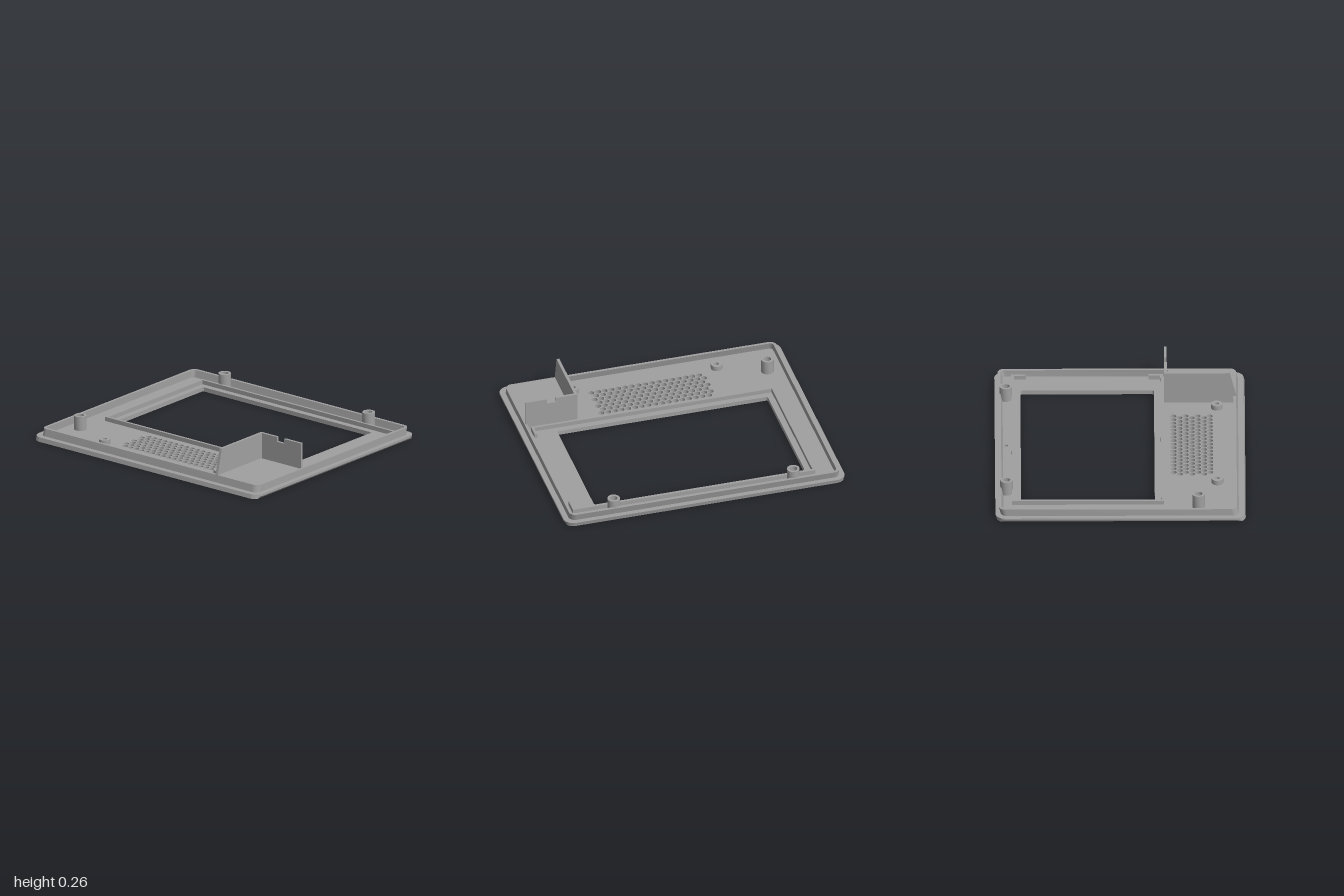
import * as THREE from 'three';
import { toCreasedNormals } from 'three/addons/utils/BufferGeometryUtils.js';

const LEAN = 0.25; // the moulded edges lean back by this much per unit of height

// Rounded rectangle in plan; the shape's y is -z.
function roundedRect(Type, x0, x1, z0, z1, r) {
  const s = new Type();
  const a = -z1, b = -z0, q = Math.PI / 2;
  s.absarc(x1 - r, a + r, r, -q, 0);
  s.absarc(x1 - r, b - r, r, 0, q);
  s.absarc(x0 + r, b - r, r, q, 2 * q);
  s.absarc(x0 + r, a + r, r, 2 * q, 3 * q);
  s.closePath();
  return s;
}

function circle(Type, x, z, r) {
  const s = new Type();
  s.absarc(x, -z, r, 0, Math.PI * 2);
  return s;
}

function polygon(points) {
  return new THREE.Shape(points.map(([x, y]) => new THREE.Vector2(x, y)));
}

// Extrude a plan shape upward from y0 to y1.
function slab(shape, y0, y1, steps = 1) {
  const g = new THREE.ExtrudeGeometry(shape, {
    depth: y1 - y0, steps, bevelEnabled: false, curveSegments: 8,
  });
  return g.rotateX(-Math.PI / 2).translate(0, y0, 0);
}

// Move each vertex of a geometry by a rule.
function reshape(g, rule) {
  const p = g.attributes.position;
  const v = new THREE.Vector3();
  for (let i = 0; i < p.count; i++) {
    rule(v.fromBufferAttribute(p, i));
    p.setXYZ(i, v.x, v.y, v.z);
  }
  return g;
}

export function createModel() {
  const model = new THREE.Group();
  model.name = 'frontPanel';
  const grey = new THREE.MeshStandardMaterial({ color: 0xa0a0a0 });
  grey.name = 'grey plastic';

  function add(name, geometry) {
    const mesh = new THREE.Mesh(toCreasedNormals(geometry, 0.6), grey);
    mesh.name = name;
    model.add(mesh);
    return mesh;
  }

  // Base plate with screen window, pinhole and speaker grille
  const plate = roundedRect(THREE.Shape, -1, 1, -0.85, 0.857, 0.07);
  plate.holes.push(roundedRect(THREE.Path, -0.75, 0.75, -0.68, 0.235, 0.015));
  plate.holes.push(circle(THREE.Path, 0, -0.78, 0.014));
  const pitch = 0.048;
  for (let row = 0; row < 7; row++) {
    for (let col = 0; col < 17; col++) {
      const x = -0.37 + col * pitch - (row % 2) * pitch / 2;
      plate.holes.push(circle(THREE.Path, x, 0.366 + row * pitch * 0.866, 0.021));
    }
  }
  add('basePlate', reshape(slab(plate, 0, 0.03, 2), (v) => {
    if (Math.abs(v.x) > 0.9 || Math.abs(v.z) > 0.8) v.z -= LEAN * v.y;
    // undercut along the two sides
    if (v.y < 0.001) v.x = THREE.MathUtils.clamp(v.x, -0.985, 0.985);
  }));

  // Raised rim, leaning back
  const lean = (v) => { v.z -= LEAN * (v.y - 0.03); };
  const rim = roundedRect(THREE.Shape, -0.962, 0.962, -0.822, 0.81, 0.045);
  rim.holes.push(roundedRect(THREE.Path, -0.942, 0.942, -0.802, 0.79, 0.025));
  add('rim', reshape(slab(rim, 0.03, 0.08), lean));

  // Screen surround: a ridge open along most of one side
  const surround = polygon([
    [0.92, 0.64], [0.92, 0.742], [-0.81, 0.742], [-0.81, -0.297],
    [0.92, -0.297], [0.92, -0.2], [0.902, -0.2], [0.902, -0.279],
    [-0.792, -0.279], [-0.792, 0.724], [0.902, 0.724], [0.902, 0.64],
  ]);
  add('screenSurround', slab(surround, 0.03, 0.06));

  // Hollow screw posts
  function post(name, x, z, radius, bore, top) {
    const ring = circle(THREE.Shape, x, z, radius);
    ring.holes.push(circle(THREE.Path, x, z, bore));
    add(name, slab(ring, 0.03, top));
  }
  post('backPostLeft', 0.64, -0.78, 0.044, 0.026, 0.13);
  post('backPostRight', -0.64, -0.78, 0.044, 0.026, 0.13);
  post('sidePost', -0.835, 0.535, 0.044, 0.026, 0.13);
  for (const side of [-1, 1]) post('grillePost', side * 0.51, 0.665, 0.04, 0.016, 0.065);

  // Corner compartment: raised floor and two tall walls
  const floor = roundedRect(THREE.Shape, 0.6, 0.945, 0.33, 0.8, 0.02);
  add('compartmentFloor', reshape(slab(floor, 0.03, 0.08), (v) => { if (v.z > 0.7) lean(v); }));

  const backWall = polygon([
    [0.585, 0.03], [0.952, 0.03], [0.952, 0.26], [0.802, 0.26],
    [0.802, 0.226], [0.737, 0.226], [0.737, 0.26], [0.585, 0.26],
  ]);
  add('compartmentBackWall', new THREE.ExtrudeGeometry(backWall, {
    depth: 0.018, bevelEnabled: false,
  }).translate(0, 0, 0.305));

  // profile drawn along -z, so the extrusion turns to run along x
  const sideWall = polygon([
    [-0.81, 0.03], [-0.315, 0.03], [-0.315, 0.26], [-0.753, 0.26],
  ]);
  add('compartmentSideWall', new THREE.ExtrudeGeometry(sideWall, {
    depth: 0.02, bevelEnabled: false,
  }).rotateY(Math.PI / 2).translate(0.585, 0, 0));

  return model;
}
